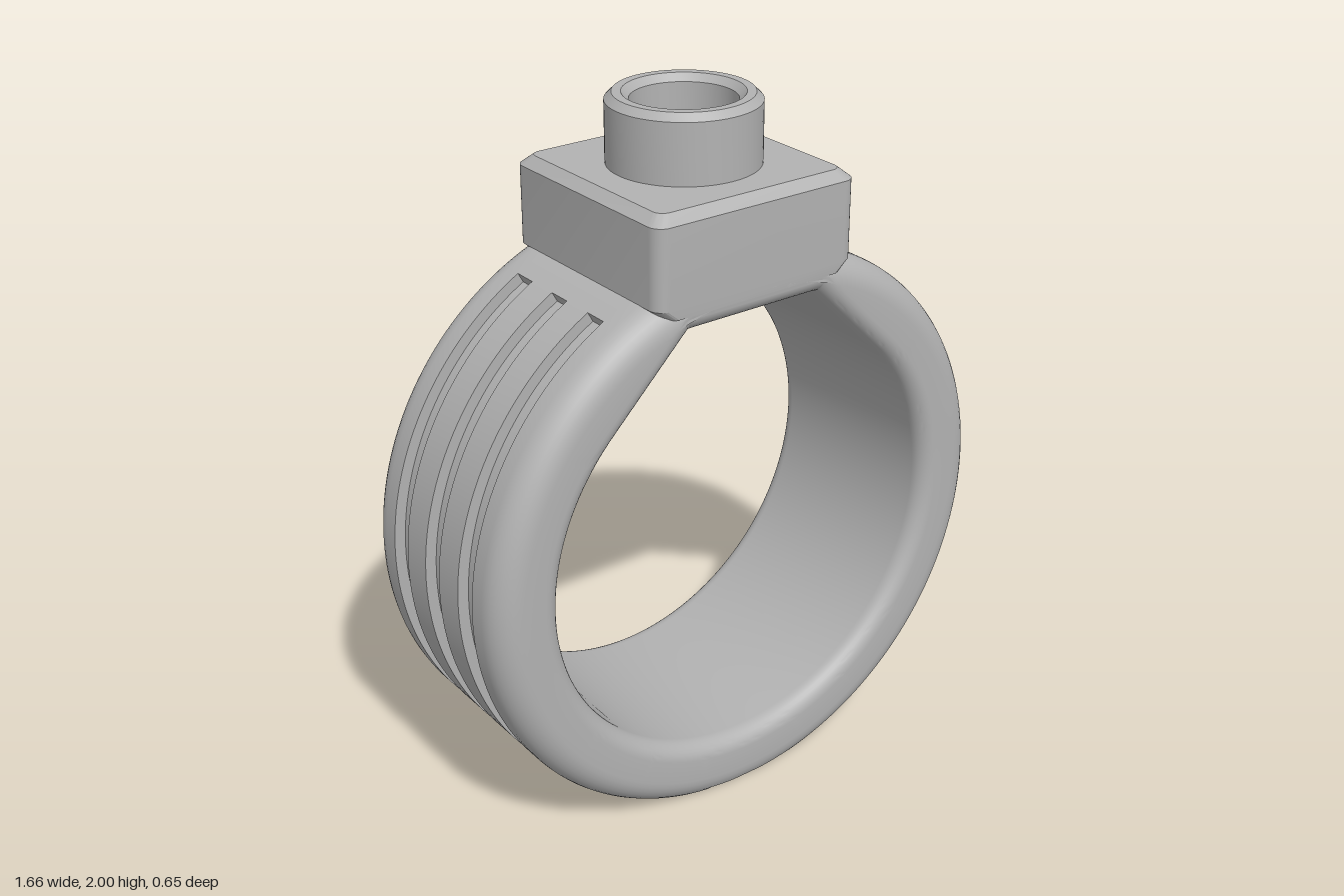
import * as THREE from 'three';
import { toCreasedNormals } from 'three/addons/utils/BufferGeometryUtils.js';

const CREASE = 0.25;
const CY = 0.795;        // height of the ring centre
const R_OUT = 0.832, R_IN = 0.635, HALF = 0.325;
const HOLE_TOP = 0.685;  // flat top of the finger hole, above the ring centre
const rad = THREE.MathUtils.degToRad;

// Skin a surface over a list of closed loops; collapsed triangles are dropped.
function loft(loops, closed) {
  const out = [], ab = new THREE.Vector3(), ac = new THREE.Vector3();
  const tri = (a, b, c) => {
    ab.subVectors(b, a);
    ac.subVectors(c, a);
    if (ab.cross(ac).length() > 1e-9) out.push(...a.toArray(), ...b.toArray(), ...c.toArray());
  };
  const n = loops[0].length;
  for (let s = 0; s < loops.length - (closed ? 0 : 1); s++) {
    const p = loops[s], q = loops[(s + 1) % loops.length];
    for (let i = 0; i < n; i++) {
      const j = (i + 1) % n;
      tri(p[i], q[i], p[j]);
      tri(q[i], q[j], p[j]);
    }
  }
  const g = new THREE.BufferGeometry();
  g.setAttribute('position', new THREE.Float32BufferAttribute(out, 3));
  return toCreasedNormals(g, CREASE);
}

// Distance to the hole edge (offset outward by d): a circle with a bevelled, flat top.
function holeRadius(a, d) {
  const s = Math.sin(a), c = Math.abs(Math.cos(a));
  if (s < Math.SQRT1_2) return R_IN + d;
  return Math.min((R_IN + d) / ((s + c) * Math.SQRT1_2), (HOLE_TOP + d) / s);
}

// Cross-section of the band at one angle, with optional grooves in the outside.
function bandSection(a, grooved) {
  const loop = [], f = 0.08, h = 0.05, steps = 8;
  const add = (r, z) => loop.push(new THREE.Vector3(
    r * Math.cos(a), Math.max(0, CY + r * Math.sin(a)), z)); // flat foot at y = 0
  const outerRound = (k) => {
    const t = k / steps * Math.PI / 2;
    return [R_OUT - f + f * Math.sin(t), HALF - f + f * Math.cos(t)];
  };
  const innerRound = (k) => {
    const t = k / steps * Math.PI / 2;
    return [holeRadius(a, h * (1 - Math.sin(t))), HALF - h + h * Math.cos(t)];
  };
  for (let k = 0; k <= steps; k++) { const [r, z] = outerRound(k); add(r, -z); }
  const floor = grooved ? R_OUT - 0.032 : R_OUT;
  for (const z of [-0.165, 0, 0.165]) {
    add(R_OUT, z - 0.035);
    add(floor, z - 0.035);
    add(floor, z + 0.035);
    add(R_OUT, z + 0.035);
  }
  for (let k = steps; k >= 0; k--) add(...outerRound(k));
  for (let k = 0; k <= steps; k++) add(...innerRound(k));
  for (let k = steps; k >= 0; k--) { const [r, z] = innerRound(k); add(r, -z); }
  return loop;
}

function bandGeometry() {
  const foot = THREE.MathUtils.radToDeg(Math.asin(CY / R_OUT));
  const ends = [60.9, 119.1, 238.6, 301.4]; // where the grooves start and stop
  const stations = [72.6, 107.4, 180 + foot, 360 - foot];
  for (let d = 0; d < 360; d += 2) stations.push(d);
  if (!stations.includes(45)) stations.push(45, 135);
  const hasGroove = (d) => d < ends[0] || (d > ends[1] && d < ends[2]) || d > ends[3];
  const list = stations.map((d) => ({ d, g: hasGroove(d) }));
  // two sections at each groove end make its end wall
  for (const e of ends) {
    list.push({ d: e - 1e-4, g: hasGroove(e - 1e-4) }, { d: e + 1e-4, g: hasGroove(e + 1e-4) });
  }
  list.sort((p, q) => p.d - q.d);
  return loft(list.map(({ d, g }) => bandSection(rad(d), g)), true);
}

// Rounded rectangle at height y.
function plateLoop(y, hx, hz, r) {
  const loop = [], steps = 8;
  const corners = [[1, 1], [-1, 1], [-1, -1], [1, -1]];
  corners.forEach(([sx, sz], q) => {
    for (let k = 0; k <= steps; k++) {
      const t = (q + k / steps) * Math.PI / 2;
      loop.push(new THREE.Vector3(
        sx * (hx - r) + r * Math.cos(t), y, sz * (hz - r) + r * Math.sin(t)));
    }
  });
  return loop;
}

export function createModel() {
  const model = new THREE.Group();
  const grey = new THREE.MeshStandardMaterial({ color: 0xb2b2b2 });
  grey.name = 'grey';
  const part = (name, geometry) => {
    const mesh = new THREE.Mesh(geometry, grey);
    mesh.name = name;
    model.add(mesh);
  };

  part('ringBand', bandGeometry());

  // square mount with chamfered top and tucked-in lower sides
  part('squareMount', loft([
    plateLoop(1.53, 0, 0, 0),
    plateLoop(1.53, 0.29, HALF, 0.04),
    plateLoop(1.56, HALF, HALF, 0.04),
    plateLoop(1.783, HALF, HALF, 0.04),
    plateLoop(1.81, 0.295, 0.295, 0.03),
    plateLoop(1.81, 0, 0, 0),
  ], false));

  // hollow stud with chamfered rim
  const profile = [
    [0.21, 1.8], [0.21, 1.98], [0.19, 2], [0.165, 2],
    [0.145, 1.98], [0.145, 1.83], [0, 1.83],
  ].map(([x, y]) => new THREE.Vector2(x, y));
  part('hollowStud', toCreasedNormals(new THREE.LatheGeometry(profile, 64), CREASE));

  return model;
}
